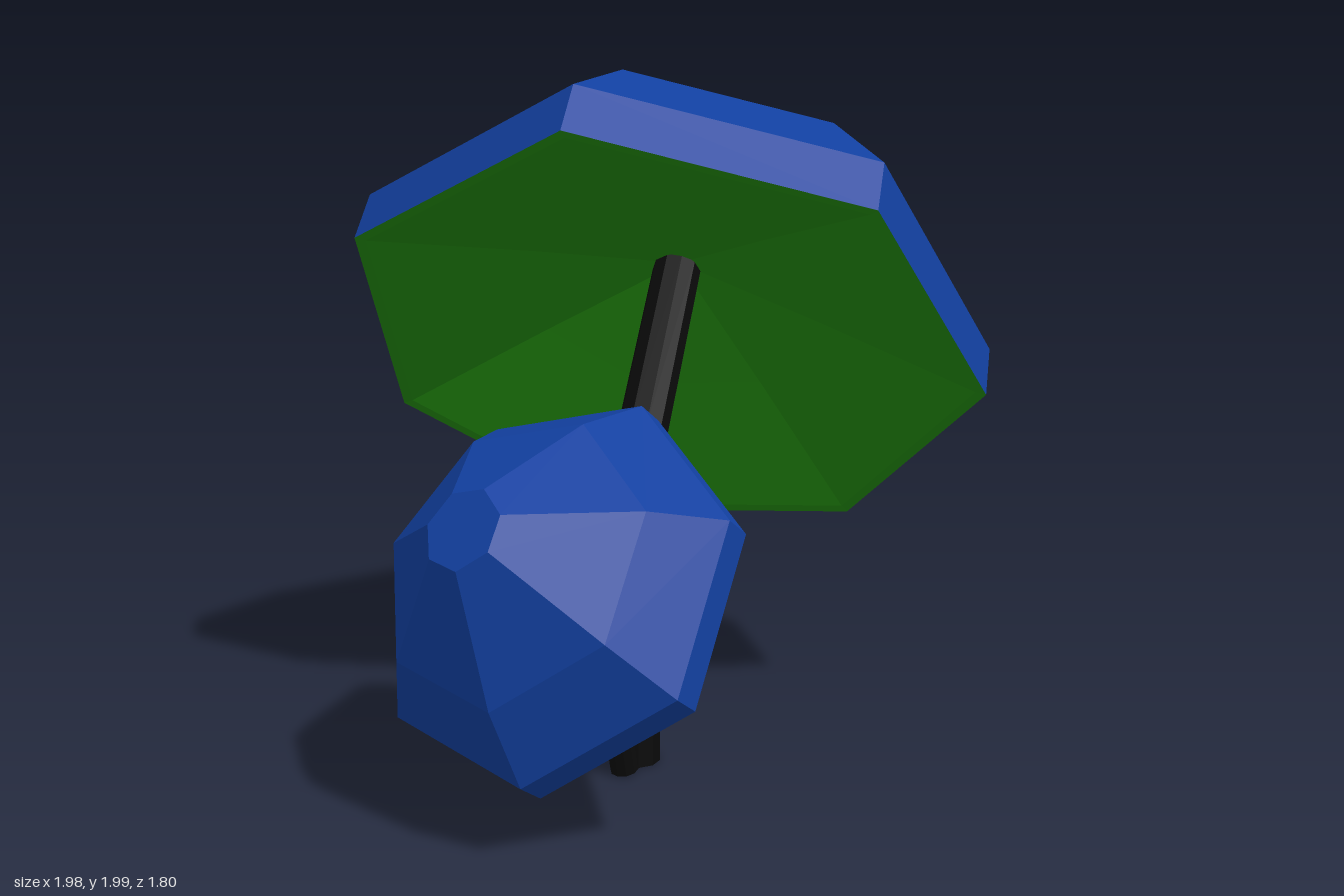
import * as THREE from 'three';

const SIDES = 7;
const material = (color) => new THREE.MeshStandardMaterial({ color, flatShading: true });
const vec = (p) => new THREE.Vector3(...p);

// Straight-sided path whose tube rings sit exactly on the given points
class Polyline extends THREE.Curve {
  constructor(points) {
    super();
    this.points = points.map(vec);
  }
  getPoint(t, target = new THREE.Vector3()) {
    const last = this.points.length - 1;
    const i = Math.min(Math.floor(t * last), last - 1);
    return target.lerpVectors(this.points[i], this.points[i + 1], t * last - i);
  }
  getPointAt(u, target) { return this.getPoint(u, target); }
  getTangentAt(u, target) { return this.getTangent(u, target); }
}

function lathe(name, profile, mat) {
  const points = profile.map(([r, y]) => new THREE.Vector2(r, y));
  const mesh = new THREE.Mesh(new THREE.LatheGeometry(points, SIDES), mat);
  mesh.name = name;
  return mesh;
}

// Faceted cap: axis is its up direction, corner is one vertex of the rim
function makeCap(name, center, axis, corner, scale, mats) {
  const cap = new THREE.Group();
  cap.name = name;
  cap.add(
    lathe('capTop', [[0.967, 0], [0.967, 0.167], [0.713, 0.485], [0.2, 0.867], [0, 0.867]], mats.cap),
    lathe('capUnderside', [[0, 0.37], [0.45, 0.2], [0.935, 0.005], [0.967, 0]], mats.underside)
  );
  const up = vec(axis).normalize();
  const out = vec(corner).sub(vec(center)).projectOnPlane(up).normalize();
  const side = new THREE.Vector3().crossVectors(up, out);
  cap.quaternion.setFromRotationMatrix(new THREE.Matrix4().makeBasis(side, up, out));
  cap.position.copy(vec(center));
  cap.scale.setScalar(scale);
  return cap;
}

// Bent stem closed by a disc at its foot
function makeStem(name, points, radius, mat) {
  const stem = new THREE.Group();
  stem.name = name;
  const path = new Polyline(points);
  const tube = new THREE.Mesh(new THREE.TubeGeometry(path, points.length - 1, radius, 10), mat);
  tube.name = 'stemTube';
  const foot = new THREE.Mesh(new THREE.CircleGeometry(radius, 10), mat);
  foot.name = 'stemFoot';
  foot.position.copy(path.points[0]);
  foot.quaternion.setFromUnitVectors(new THREE.Vector3(0, 0, 1), path.getTangent(0).negate());
  stem.add(tube, foot);
  return stem;
}

export function createModel() {
  const model = new THREE.Group();
  model.name = 'mushrooms';
  const mats = { cap: material(0x1240a0), underside: material(0x228b0f) };
  const stemMat = material(0x0a0a0a);

  // Large mushroom
  const large = new THREE.Group();
  large.name = 'largeMushroom';
  large.add(
    makeCap('largeCap', [0.127, 1.144, 0.06], [0.601, 0.709, -0.368], [0.08, 1.62, 0.9], 1, mats),
    makeStem('largeStem', [[-0.14, 0, 0.235], [-0.14, 0.61, 0.235], [-0.06, 0.94, 0.175], [0.35, 1.41, -0.08]], 0.075, stemMat)
  );

  // Small mushroom leaning the other way
  const small = new THREE.Group();
  small.name = 'smallMushroom';
  small.add(
    makeCap('smallCap', [-0.53, 0.604, 0.37], [-0.82, 0.553, 0.146], [-0.56, 0.43, 0.88], 0.556, mats),
    makeStem('smallStem', [[-0.235, 0.01, 0.29], [-0.305, 0.35, 0.3], [-0.41, 0.52, 0.35], [-0.69, 0.71, 0.4]], 0.041, stemMat)
  );

  model.add(large, small);
  return model;
}
